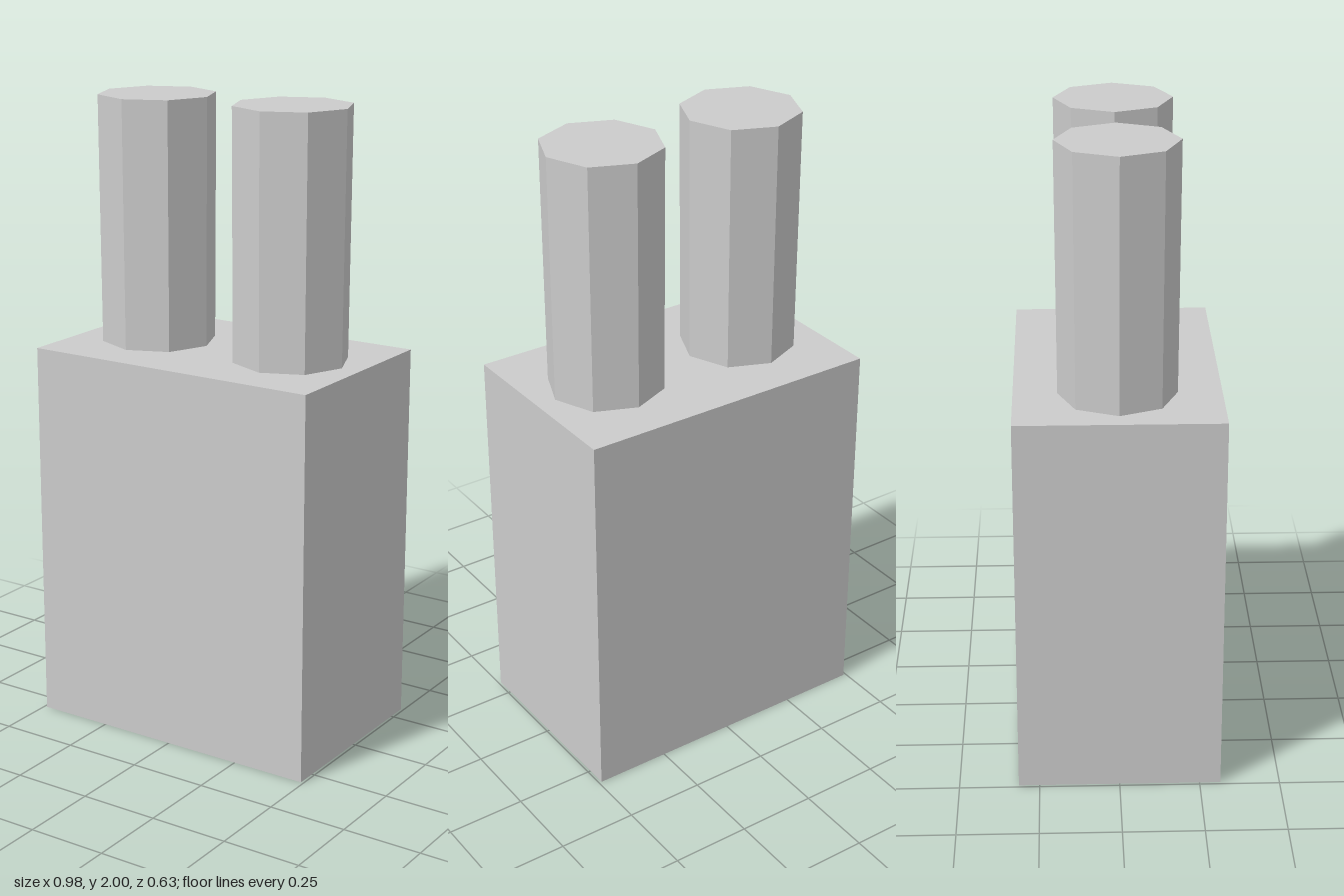
import * as THREE from 'three';

const BODY = { width: 0.982, height: 1.222, depth: 0.63 };
const TOTAL_HEIGHT = 2;

export function createModel() {
  const model = new THREE.Group();
  model.name = 'twinPostBlock';
  const material = new THREE.MeshStandardMaterial({ color: 0xcccccc, flatShading: true });

  // Rectangular base block
  const body = new THREE.Mesh(new THREE.BoxGeometry(BODY.width, BODY.height, BODY.depth), material);
  body.name = 'body';
  body.position.y = BODY.height / 2;
  model.add(body);

  // Pair of eight-sided posts, slightly wider at the top
  const postHeight = TOTAL_HEIGHT - BODY.height;
  const postGeometry = new THREE.CylinderGeometry(0.185, 0.181, postHeight, 8);
  for (const side of [1, -1]) {
    const post = new THREE.Mesh(postGeometry, material);
    post.name = side > 0 ? 'leftPost' : 'rightPost';
    post.position.set(side * 0.246, BODY.height + postHeight / 2, 0);
    model.add(post);
  }

  return model;
}
